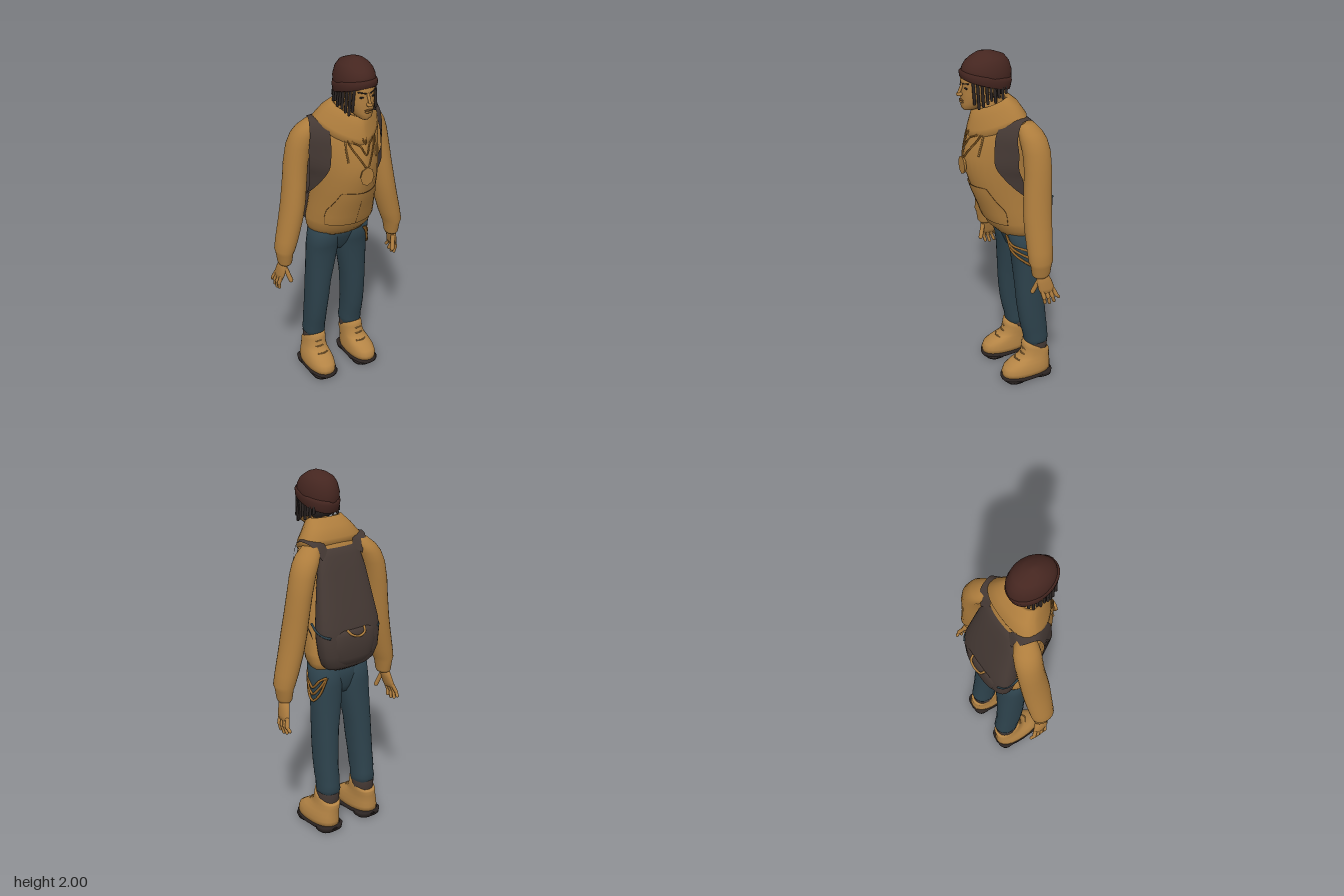
import * as THREE from 'three';

const mat = (name, color, double) => {
  const m = new THREE.MeshStandardMaterial({ color });
  m.name = name;
  if (double) m.side = THREE.DoubleSide;
  return m;
};

export function createModel() {
  const root = new THREE.Group();
  const tan = mat('tan cloth', 0xae7d3d, true), skin = mat('skin', 0xae7d3f), bootTan = mat('boot leather', 0xb48445);
  const hatBrown = mat('hat brown', 0x452620), denim = mat('denim', 0x2d424c), packGrey = mat('pack canvas', 0x453934, true);
  const dark = mat('dark hair and soles', 0x2b2422), gold = mat('chain gold', 0x96662a), seam = mat('seam brown', 0x6b4822);

  const add = (name, geo, material, parent = root) => {
    const mesh = new THREE.Mesh(geo, material);
    mesh.name = name;
    parent.add(mesh);
    return mesh;
  };
  const V = (p) => new THREE.Vector3(...p);

  // Skin over horizontal sections [y, x, halfWidth, zFront, zBack, frontPower], listed bottom to top
  function loft(sections, { p = 1, pb = p, m = 0.5, n = 24, caps = true, warp = null } = {}) {
    const pos = [], idx = [];
    const put = (x, y, z) => pos.push(x, warp ? warp(x, y, z) : y, z);
    for (const [y, x, w, f, b, pf = p] of sections) {
      const mid = b + (f - b) * m;
      for (let i = 0; i < n; i++) {
        const a = (i / n) * Math.PI * 2, k = i < n / 2 ? pf : pb;
        const pw = (v) => Math.sign(v) * Math.abs(v) ** k, s = pw(Math.sin(a));
        put(x + w * pw(Math.cos(a)), y, mid + s * (s > 0 ? f - mid : mid - b));
      }
    }
    for (let r = 0; r < sections.length - 1; r++) for (let i = 0; i < n; i++) {
      const a = r * n + i, b = r * n + (i + 1) % n;
      idx.push(a, a + n, b, b, a + n, b + n);
    }
    if (caps) [0, sections.length - 1].forEach((r, top) => {
      const [y, x, , f, b] = sections[r], c = pos.length / 3;
      put(x, y, (f + b) / 2);
      for (let i = 0; i < n; i++) {
        const u = r * n + i, v = r * n + (i + 1) % n;
        top ? idx.push(c, v, u) : idx.push(c, u, v);
      }
    });
    return surface(pos, idx);
  }
  function surface(pos, idx) {
    const g = new THREE.BufferGeometry();
    g.setAttribute('position', new THREE.Float32BufferAttribute(pos, 3));
    g.setIndex(idx);
    g.computeVertexNormals();
    return g;
  }
  const tube = (pts, r, seg = 24) => new THREE.TubeGeometry(new THREE.CatmullRomCurve3(pts.map(V)), seg, r, 6);
  // Ribbon between two smooth edges
  function ribbon(left, right, seg = 28) {
    const a = new THREE.CatmullRomCurve3(left.map(V)), b = new THREE.CatmullRomCurve3(right.map(V)), pos = [], idx = [];
    for (let i = 0; i <= seg; i++) {
      pos.push(...a.getPoint(i / seg).toArray(), ...b.getPoint(i / seg).toArray());
      if (i < seg) idx.push(2 * i, 2 * i + 1, 2 * i + 2, 2 * i + 1, 2 * i + 3, 2 * i + 2);
    }
    return surface(pos, idx);
  }
  function capsule(name, a, b, r, material, parent) {
    const A = V(a), B = V(b), d = B.clone().sub(A);
    const mesh = add(name, new THREE.CapsuleGeometry(r, d.length(), 4, 8), material, parent);
    mesh.position.copy(A).addScaledVector(d, 0.5);
    mesh.quaternion.setFromUnitVectors(new THREE.Vector3(0, 1, 0), d.normalize());
  }
  const ball = (name, x, y, z, sx, sy, sz, material) => {
    const mesh = add(name, new THREE.SphereGeometry(1, 12, 8), material);
    mesh.position.set(x, y, z);
    mesh.scale.set(sx, sy, sz);
  };

  // Hoodie body, chest more pointed towards the shoulders
  const torso = [[0.955, 0, 0.172, 0.04, -0.175, 0.95], [1.0, 0, 0.19, 0.085, -0.18, 1], [1.03, 0, 0.193, 0.095, -0.18, 1], [1.05, 0, 0.196, 0.11, -0.18, 1],
    [1.13, 0, 0.19, 0.14, -0.165, 1.05], [1.23, 0, 0.185, 0.18, -0.15, 1.1], [1.34, 0, 0.185, 0.215, -0.13, 1.2], [1.44, 0, 0.19, 0.23, -0.12, 1.35],
    [1.55, 0, 0.2, 0.208, -0.11, 1.45], [1.62, 0, 0.185, 0.18, -0.1, 1.4], [1.67, 0, 0.13, 0.15, -0.07, 1.3], [1.7, 0, 0.07, 0.12, 0, 1.2]];
  const TM = 0.35;
  add('hoodieBody', loft(torso, { pb: 0.9, m: TM, n: 36 }), tan);
  const frontZ = (x, y) => {
    let i = 0;
    while (i < torso.length - 2 && torso[i + 1][0] < y) i++;
    const A = torso[i], B = torso[i + 1], t = (y - A[0]) / (B[0] - A[0]);
    const [, , w, f, b, p] = A.map((v, k) => v + (B[k] - v) * t);
    const mid = b + (f - b) * TM, c = Math.min(1, Math.abs(x) / w) ** (1 / p);
    return mid + (f - mid) * Math.sqrt(1 - c * c) ** p;
  };
  const onChest = (pts, off = 0.006) => pts.map(([x, y]) => [x, y, frontZ(x, y) + off]);

  // Front pocket, following the chest
  const pocketHalf = (y) => (y < 1.13 ? 0.155 : 0.155 - (y - 1.13) * 0.36), pPos = [], pIdx = [];
  for (let r = 0; r <= 8; r++) for (let c = 0; c <= 12; c++) {
    const y = 1.045 + r * 0.028, x = pocketHalf(y) * (c / 6 - 1);
    pPos.push(x, y, frontZ(x, y) + 0.007);
    const k = r * 13 + c;
    if (r < 8 && c < 12) pIdx.push(k, k + 1, k + 13, k + 1, k + 14, k + 13);
  }
  add('frontPocket', surface(pPos, pIdx), tan);
  const rim = [1.05, 1.13, 1.2, 1.269].map((y) => [pocketHalf(y), y]);
  for (const s of [-1, 1]) add('pocketSeam', tube(onChest(rim.map(([x, y]) => [s * x, y])), 0.0015), seam);
  add('pocketTopSeam', tube(onChest([[-0.105, 1.269], [-0.05, 1.269], [0, 1.269], [0.05, 1.269], [0.105, 1.269]]), 0.0015), seam);
  add('pocketMiddleSeam', tube(onChest([[0, 1.05], [0, 1.13], [0, 1.2], [0, 1.269]]), 0.0015), seam);

  // Folded hood, wide and high at the back, falling to a low point in front
  add('hood', loft([[1.6, 0, 0.16, 0.18, -0.07], [1.64, 0, 0.187, 0.205, -0.088], [1.67, 0, 0.182, 0.205, -0.094], [1.725, 0, 0.14, 0.19, -0.06],
    [1.768, 0, 0.104, 0.175, -0.01], [1.76, 0, 0.09, 0.16, 0.005], [1.7, 0, 0.075, 0.14, 0.02], [1.64, 0, 0.06, 0.12, 0.03]],
  { p: 1.3, pb: 0.8, m: 0.3, n: 36, caps: false, warp: (x, y, z) => y - 0.5 * Math.max(0, z - 0.03) }), tan);

  // Necklaces, drawstrings and pendant
  [[0.085, 1.43], [0.07, 1.5], [0.055, 1.56]].forEach(([w, low]) => add('necklace', tube(onChest([[-w, 1.61], [-w * 0.85, 1.55 + (low - 1.43) * 0.3],
    [-w * 0.4, low + 0.05], [0, low], [w * 0.4, low + 0.05], [w * 0.85, 1.55 + (low - 1.43) * 0.3], [w, 1.61]], 0.007), 0.0045), gold));
  for (const s of [-1, 1]) add('drawstring', tube(onChest([[s * 0.085, 1.6], [s * 0.09, 1.54], [s * 0.085, 1.46]], 0.005), 0.005), tan);
  const pendant = add('pendant', new THREE.CylinderGeometry(0.042, 0.036, 0.014, 8), tan);
  pendant.rotation.x = Math.PI / 2;
  pendant.scale.z = 1.25;
  pendant.position.set(-0.005, 1.385, 0.234);

  // Neck, head and face
  add('neck', loft([[1.56, 0, 0.06, 0.16, 0.02], [1.66, 0, 0.052, 0.15, 0.03], [1.76, 0, 0.052, 0.17, 0.03]]), skin);
  add('head', loft([[1.7, 0, 0.022, 0.222, 0.15], [1.715, 0, 0.04, 0.236, 0.12], [1.74, 0, 0.055, 0.236, 0.08], [1.765, 0, 0.066, 0.236, 0.05],
    [1.8, 0, 0.074, 0.236, 0.02], [1.835, 0, 0.077, 0.232, 0.0], [1.87, 0, 0.079, 0.234, 0.0], [1.92, 0, 0.08, 0.215, 0.0]], { p: 0.9 }), skin);
  capsule('noseBridge', [0, 1.84, 0.23], [0, 1.797, 0.25], 0.008, skin);
  ball('noseTip', 0, 1.79, 0.246, 0.017, 0.011, 0.018, skin);
  ball('upperLip', 0, 1.757, 0.236, 0.023, 0.005, 0.01, seam);
  ball('lowerLip', 0, 1.747, 0.235, 0.02, 0.006, 0.011, skin);
  for (const s of [-1, 1]) {
    ball('eye', s * 0.031, 1.826, 0.222, 0.014, 0.005, 0.008, dark);
    capsule('eyebrow', [s * 0.014, 1.847, 0.233], [s * 0.05, 1.855, 0.216], 0.0035, dark);
    ball('ear', s * 0.078, 1.81, 0.1, 0.012, 0.028, 0.018, skin);
  }

  // Hair and hanging locks
  add('backHair', loft([[1.755, 0, 0.055, 0.09, 0.035], [1.785, 0, 0.075, 0.1, 0.012], [1.87, 0, 0.085, 0.12, -0.015]]), dark);
  [1.79, 1.765, 1.775, 1.75, 1.765, 1.75, 1.735, 1.725, 1.75].forEach((low, i) => {
    const z = 0.025 + i * 0.0215;
    const x = 0.09 - 0.35 * Math.max(0, z - 0.13) - 0.4 * Math.max(0, 0.05 - z);
    for (const s of [-1, 1]) capsule('hairLock', [s * (x - 0.005), 1.87, z], [s * (x + 0.004), low, z - 0.004], 0.008, dark);
  });

  // Knitted hat with turned-up band
  const tilt = (x, y, z) => y + 0.33 * (z - 0.1) * THREE.MathUtils.clamp((1.97 - y) / 0.13, 0, 1);
  add('hat', loft([[1.84, 0, 0.094, 0.225, -0.025], [1.87, 0, 0.102, 0.232, -0.04], [1.91, 0, 0.1, 0.225, -0.044], [1.945, 0, 0.09, 0.21, -0.03],
    [1.97, 0, 0.073, 0.186, -0.004], [1.99, 0, 0.046, 0.154, 0.045], [2.0, 0, 0.012, 0.12, 0.085]], { n: 32, warp: tilt }), hatBrown);
  add('hatBand', loft([[1.826, 0, 0.092, 0.226, -0.022], [1.832, 0, 0.102, 0.237, -0.032], [1.868, 0, 0.105, 0.24, -0.042], [1.885, 0, 0.1, 0.23, -0.04]],
    { n: 32, p: 0.92, warp: tilt }), hatBrown);

  // Backpack
  add('backpack', loft([[0.955, 0, 0.09, -0.12, -0.18], [0.975, 0, 0.14, -0.1, -0.21], [1.0, 0, 0.165, -0.1, -0.23], [1.06, 0, 0.188, -0.1, -0.245],
    [1.15, 0, 0.2, -0.09, -0.245], [1.22, 0, 0.2, -0.085, -0.232], [1.3, 0, 0.187, -0.08, -0.21], [1.4, 0, 0.172, -0.07, -0.182],
    [1.5, 0, 0.156, -0.07, -0.15], [1.58, 0, 0.135, -0.06, -0.125], [1.62, 0, 0.105, -0.06, -0.1]], { p: 0.72, n: 32 }), packGrey);
  add('packPocket', loft([[1.0, 0, 0.1, -0.15, -0.232], [1.04, 0, 0.135, -0.15, -0.25], [1.11, 0, 0.15, -0.15, -0.254],
    [1.17, 0, 0.148, -0.15, -0.252], [1.2, 0, 0.13, -0.15, -0.238]], { p: 0.72, n: 28 }), packGrey);
  add('packHandle', tube([[-0.058, 1.2, -0.235], [-0.045, 1.18, -0.258], [0, 1.165, -0.265], [0.045, 1.18, -0.258], [0.058, 1.2, -0.235]], 0.007), tan);
  for (const s of [-1, 1]) {
    const flip = (pts) => pts.map(([x, y, z]) => [s * x, y, z]);
    add('shoulderStrap', ribbon(
      flip([[0.08, 1.61, -0.1], [0.105, 1.665, -0.07], [0.135, 1.68, 0.03], [0.148, 1.6, 0.105], [0.152, 1.5, 0.12], [0.16, 1.42, 0.12], [0.175, 1.35, 0.08], [0.194, 1.26, 0.0], [0.198, 1.18, -0.1]]),
      flip([[0.135, 1.57, -0.12], [0.185, 1.65, -0.085], [0.212, 1.66, -0.01], [0.222, 1.58, 0.02], [0.228, 1.5, 0.015], [0.222, 1.4, 0.01], [0.212, 1.34, -0.015], [0.203, 1.25, -0.04], [0.2, 1.14, -0.12]])), packGrey);
    add('packSideStrap', tube(flip([[0.195, 1.23, -0.1], [0.2, 1.2, -0.15], [0.187, 1.18, -0.2], [0.16, 1.17, -0.225]]), 0.007), denim);
  }

  // Jeans, boots, arms and hands
  add('jeansSeat', loft([[0.8, 0, 0.05, -0.06, -0.14], [0.84, 0, 0.09, -0.03, -0.158], [0.9, 0, 0.12, -0.006, -0.168], [0.98, 0, 0.15, 0.022, -0.163]], { p: 0.8 }), denim);
  for (const s of [-1, 1]) {
    const L = (secs, opt) => loft(secs.map(([y, x, ...r]) => [y, s * x, ...r]), opt);
    const side = new THREE.Group();
    side.name = s > 0 ? 'leftLimbs' : 'rightLimbs';
    root.add(side);
    add('jeansLeg', L([[0.2, 0.125, 0.057, -0.09, -0.215], [0.25, 0.125, 0.064, -0.08, -0.227], [0.28, 0.125, 0.06, -0.076, -0.222], [0.32, 0.125, 0.063, -0.065, -0.22],
      [0.39, 0.125, 0.062, -0.05, -0.211], [0.5, 0.12, 0.067, -0.035, -0.202], [0.6, 0.115, 0.071, -0.028, -0.195], [0.7, 0.105, 0.081, -0.022, -0.187],
      [0.8, 0.096, 0.09, -0.015, -0.18], [0.86, 0.093, 0.093, -0.005, -0.177], [0.97, 0.09, 0.091, 0.02, -0.165]], { p: 0.9 }), denim, side);
    add('jeansCuff', L([[0.165, 0.127, 0.056, -0.095, -0.214], [0.175, 0.127, 0.061, -0.09, -0.22], [0.225, 0.126, 0.063, -0.085, -0.224], [0.235, 0.126, 0.058, -0.09, -0.218]]), packGrey, side);
    const slope = (x, y, z) => (y < 0.16 ? y : 0.16 + (y - 0.16) * THREE.MathUtils.clamp((z + 0.24) / 0.15, 0, 1.2));
    add('boot', L([[0.025, 0.14, 0.076, 0.064, -0.235], [0.06, 0.14, 0.079, 0.068, -0.236], [0.09, 0.139, 0.076, 0.055, -0.234], [0.115, 0.136, 0.07, 0.015, -0.233],
      [0.135, 0.133, 0.065, -0.035, -0.234], [0.16, 0.13, 0.064, -0.06, -0.234], [0.2, 0.128, 0.063, -0.068, -0.23], [0.235, 0.127, 0.061, -0.074, -0.22]],
    { p: 0.85, warp: slope }), bootTan, side);
    add('bootSole', L([[0.01, 0.139, 0.078, 0.066, -0.12], [0.015, 0.139, 0.081, 0.072, -0.24], [0.036, 0.139, 0.082, 0.073, -0.24]], { p: 0.8 }), dark, side);
    add('bootHeel', L([[0, 0.139, 0.072, -0.12, -0.236], [0.03, 0.139, 0.078, -0.11, -0.24]], { p: 0.7 }), dark, side);
    add('soleTread', L([[0, 0.139, 0.072, 0.055, -0.07], [0.02, 0.139, 0.078, 0.068, -0.08]], { p: 0.8 }), dark, side);
    [[0.13, -0.015], [0.158, -0.054], [0.19, -0.062]].forEach(([y, z]) => add('bootLace', tube([[s * 0.1, y, z - 0.018], [s * 0.132, y + 0.006, z - 0.002], [s * 0.165, y, z - 0.018]], 0.004, 8), bootTan, side));

    add('sleeve', L([[0.81, 0.352, 0.032, -0.02, -0.1], [0.825, 0.352, 0.038, -0.008, -0.113], [0.88, 0.352, 0.046, 0.0, -0.12], [0.905, 0.35, 0.055, 0.01, -0.127],
      [0.97, 0.333, 0.062, 0.012, -0.132], [1.08, 0.306, 0.066, 0.015, -0.14], [1.18, 0.287, 0.066, 0.015, -0.146], [1.3, 0.271, 0.064, 0.005, -0.152],
      [1.4, 0.258, 0.065, -0.005, -0.157], [1.5, 0.237, 0.068, -0.005, -0.157], [1.56, 0.212, 0.071, 0.0, -0.148], [1.6, 0.19, 0.066, 0.0, -0.13],
      [1.64, 0.165, 0.045, -0.01, -0.095]]), tan, side);
    add('palm', L([[0.715, 0.378, 0.013, -0.045, -0.132], [0.74, 0.374, 0.018, -0.035, -0.13], [0.78, 0.365, 0.022, -0.03, -0.118], [0.83, 0.354, 0.026, -0.03, -0.095]], { n: 16 }), skin, side);
    for (let i = 0; i < 4; i++) {
      const z = -0.055 - i * 0.022, tip = [0.656, 0.648, 0.653, 0.67][i], end = -0.07 - i * 0.028;
      capsule('finger', [s * 0.377, 0.73, z], [s * 0.39, 0.69, (z + end) / 2], 0.0115, skin, side);
      capsule('fingertip', [s * 0.39, 0.69, (z + end) / 2], [s * 0.385, tip, end], 0.0095, skin, side);
    }
    capsule('thumb', [s * 0.357, 0.785, -0.042], [s * 0.338, 0.715, -0.018], 0.013, skin, side);
  }

  // Hip chains on the left
  [0.86, 0.82, 0.78].forEach((low, i) => add('hipChain', tube([[0.1 + i * 0.01, 0.96, 0.03], [0.14, 0.91 - i * 0.02, 0.01], [0.182, low + 0.02, -0.06],
    [0.19, low, -0.1], [0.178, low + 0.05, -0.15], [0.15, 0.93, -0.178]], 0.007, 32), gold));
  return root;
}
